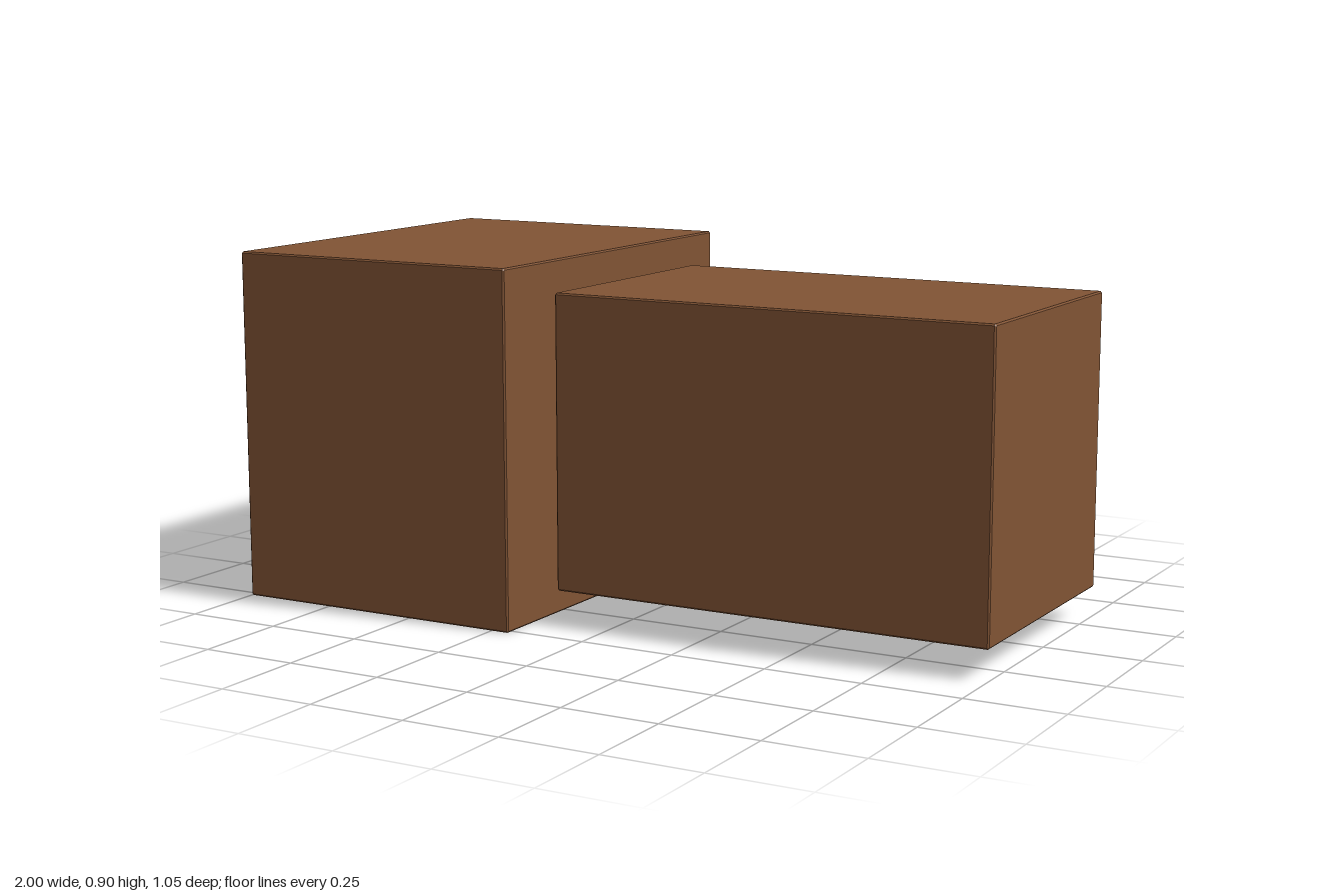
import * as THREE from 'three';

const BEVEL = 0.004;

// Square outline with slightly clipped corners (half width, half height)
function outline(PathType, w, h, c) {
  const p = new PathType();
  p.moveTo(-w + c, -h);
  p.lineTo(w - c, -h);
  p.lineTo(w, -h + c);
  p.lineTo(w, h - c);
  p.lineTo(w - c, h);
  p.lineTo(-w + c, h);
  p.lineTo(-w, h - c);
  p.lineTo(-w, -h + c);
  p.closePath();
  return p;
}

// Bevelled block running along x from x0 to x1, with an optional square bore
function block(name, material, x0, x1, halfY, halfZ, bore = 0) {
  const shape = outline(THREE.Shape, halfZ, halfY, BEVEL);
  if (bore) {
    const hole = new THREE.Path();
    hole.moveTo(-bore, -bore);
    hole.lineTo(-bore, bore);
    hole.lineTo(bore, bore);
    hole.lineTo(bore, -bore);
    hole.closePath();
    shape.holes.push(hole);
  }
  const geometry = new THREE.ExtrudeGeometry(shape, {
    depth: x1 - x0 - 2 * BEVEL,
    bevelEnabled: true,
    bevelThickness: BEVEL,
    bevelSize: BEVEL,
    bevelOffset: -BEVEL,
    bevelSegments: 1,
    steps: 1,
  });
  geometry.translate(0, 0, BEVEL);
  geometry.rotateY(Math.PI / 2);
  const mesh = new THREE.Mesh(geometry, material);
  mesh.name = name;
  mesh.position.set(x0, 0.452, 0);
  return mesh;
}

export function createModel() {
  const group = new THREE.Group();
  group.name = 'socketJoint';
  const wood = new THREE.MeshStandardMaterial({ color: 0x805334 });
  wood.name = 'brown wood';

  // Large block with a square bore right through it
  group.add(block('socketBlock', wood, -1, -0.2, 0.452, 0.523, 0.18));
  // Long block and the square peg that slides into the bore
  group.add(block('body', wood, -0.165, 1, 0.377, 0.349));
  group.add(block('peg', wood, -0.96, -0.15, 0.16, 0.16));
  return group;
}
